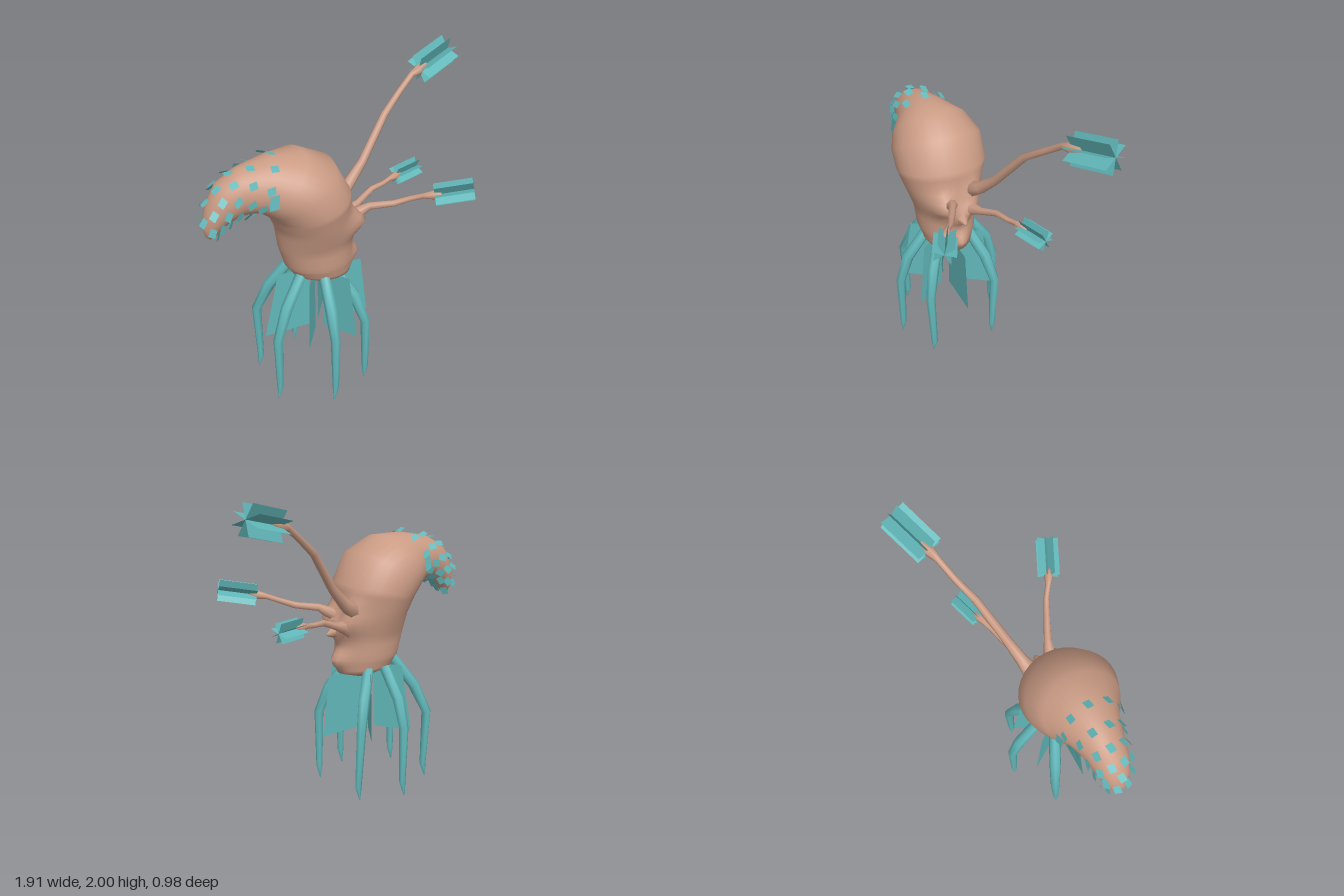
import * as THREE from 'three';

const V = (x, y, z) => new THREE.Vector3(x, y, z);
const skin = new THREE.MeshStandardMaterial({ color: 0xcb9c85, name: 'tan skin' });
const teal = new THREE.MeshStandardMaterial({ color: 0x62b8ba, name: 'teal leg' });
const tealSheet = new THREE.MeshStandardMaterial({ color: 0x62b8ba, name: 'teal sheet', side: THREE.DoubleSide });

// Skin a list of rings (equal point counts), closing both ends
function loft(rings) {
  const n = rings[0].length, m = rings.length, pos = [], idx = [];
  const mid = (r) => r.reduce((a, p) => a.add(p), V(0, 0, 0)).divideScalar(n);
  rings.flat().concat([mid(rings[0]), mid(rings[m - 1])]).forEach((p) => pos.push(p.x, p.y, p.z));
  for (let j = 0; j < n; j++) {
    const k = (j + 1) % n;
    for (let i = 0; i < m - 1; i++) {
      const a = i * n, b = a + n;
      idx.push(a + j, b + j, a + k, b + j, b + k, a + k);
    }
    idx.push(m * n, j, k, m * n + 1, (m - 1) * n + k, (m - 1) * n + j);
  }
  const g = new THREE.BufferGeometry();
  g.setAttribute('position', new THREE.Float32BufferAttribute(pos, 3));
  g.setIndex(idx);
  g.computeVertexNormals();
  return g;
}

// Tapered limb through points, one radius per point
function limb(pts, radii, sides, ref) {
  return loft(pts.map((p, i) => {
    const d = pts[Math.min(i + 1, pts.length - 1)].clone().sub(pts[Math.max(i - 1, 0)]).normalize();
    const e1 = ref.clone().cross(d).normalize(), e2 = e1.clone().cross(d);
    return Array.from({ length: sides }, (_, j) => {
      const t = (j / sides) * Math.PI * 2;
      return p.clone().addScaledVector(e1, Math.cos(t) * radii[i]).addScaledVector(e2, Math.sin(t) * radii[i]);
    });
  }));
}

// Flat four-cornered sheets in one geometry
function sheets(quads) {
  const pos = [];
  for (const [a, b, c, d] of quads) for (const p of [a, b, c, a, c, d]) pos.push(p.x, p.y, p.z);
  const g = new THREE.BufferGeometry();
  g.setAttribute('position', new THREE.Float32BufferAttribute(pos, 3));
  g.computeVertexNormals();
  return g;
}

// Body sections: outer x, y, inner x, y, half width in z
const sections = [
  [-0.14, 0.76, -0.30, 0.79, 0.07], [-0.02, 0.80, -0.40, 0.84, 0.155], [-0.01, 0.90, -0.44, 0.90, 0.18],
  [-0.01, 1.03, -0.475, 1.03, 0.19], [-0.02, 1.20, -0.49, 1.17, 0.243], [-0.03, 1.38, -0.53, 1.27, 0.285],
  [-0.13, 1.57, -0.57, 1.31, 0.285], [-0.31, 1.66, -0.61, 1.335, 0.24], [-0.50, 1.66, -0.65, 1.34, 0.17],
  [-0.70, 1.62, -0.71, 1.33, 0.13], [-0.83, 1.55, -0.78, 1.30, 0.107], [-0.90, 1.43, -0.83, 1.26, 0.085],
  [-0.935, 1.31, -0.87, 1.22, 0.05], [-0.92, 1.23, -0.89, 1.21, 0.02],
];
// Face swellings on the outer side: y, z, height, spread
const swellings = [
  [0.89, 0.04, 0.065, 0.045], [1.08, 0.04, 0.07, 0.045], [1.16, 0.15, 0.1, 0.05],
  [1.14, -0.06, 0.07, 0.045], [1.24, -0.06, 0.04, 0.04],
];
function bodyPoint(s, t) {
  const i = Math.min(Math.floor(s), sections.length - 2), f = s - i;
  const [ax, ay, bx, by, w] = sections[i].map((v, k) => v + (sections[i + 1][k] - v) * f);
  const c = Math.cos(t) / 2;
  const p = V((ax + bx) / 2 + c * (ax - bx), (ay + by) / 2 + c * (ay - by), 0.045 + Math.sin(t) * w);
  if (c > 0 && s < 6) {
    for (const [y, z, h, r] of swellings) {
      p.x += h * Math.exp(-((p.y - y) ** 2 + (p.z - z) ** 2) / (2 * r * r)) * Math.min(1, c * 4);
    }
  }
  return p;
}

export function createModel() {
  const model = new THREE.Group();
  const add = (name, geo, mat) => {
    const mesh = new THREE.Mesh(geo, mat);
    mesh.name = name;
    model.add(mesh);
  };

  // Hooked body, with closer rings across the face
  const N = 32, rings = [0];
  for (let s = 1; s < 5; s += 0.25) rings.push(s);
  for (let s = 5; s < sections.length; s++) rings.push(s);
  add('body', loft(rings.map((s) =>
    Array.from({ length: N }, (_, j) => bodyPoint(s, (j / N) * Math.PI * 2)))), skin);
  add('snoutSpike', limb([V(-0.02, 1.09, 0.04), V(0.05, 1.08, 0.04), V(0.09, 1.07, 0.04)],
    [0.06, 0.035, 0.006], 6, V(0, 0, 1)), skin);

  // Arms, each ending in a fletching of radial sheets
  const arms = [
    { name: 'upperArm', r: 0.094, tip: [0.915, 1.92, -0.415],
      path: [[-0.06, 1.22, -0.05], [0.04, 1.28, -0.08], [0.16, 1.40, -0.12], [0.35, 1.65, -0.20],
        [0.48, 1.75, -0.26], [0.59, 1.835, -0.30], [0.65, 1.85, -0.32], [0.71, 1.87, -0.34]] },
    { name: 'leftArm', r: 0.07, tip: [0.635, 1.363, 0.42],
      path: [[-0.06, 1.14, 0.09], [0.02, 1.19, 0.105], [0.09, 1.23, 0.13], [0.22, 1.25, 0.195],
        [0.31, 1.285, 0.24], [0.37, 1.31, 0.285], [0.425, 1.322, 0.32], [0.46, 1.33, 0.345]] },
    { name: 'rightArm', r: 0.063, tip: [0.61, 1.225, -0.222],
      path: [[-0.04, 1.10, -0.02], [0.03, 1.13, -0.035], [0.10, 1.15, -0.06], [0.22, 1.20, -0.105],
        [0.31, 1.205, -0.13], [0.37, 1.215, -0.15], [0.42, 1.22, -0.165], [0.46, 1.22, -0.18]] },
  ];
  for (const { name, r, tip, path } of arms) {
    const pts = path.map((p) => V(...p)), k = 0.4 + 0.6 * (r / 0.094);
    const radii = [0.06, 0.038, 0.028, 0.024, 0.02, 0.02, 0.034, 0.018].map((v, i) => (i < 2 ? v : v * k));
    add(name, limb(pts, radii, 7, V(0, 0, 1)), skin);
    const a = pts[6], b = V(...tip), d = b.clone().sub(a).normalize();
    const e1 = V(0, 0, 1).cross(d).normalize(), e2 = e1.clone().cross(d);
    const quads = [];
    for (let j = 0; j < 8; j++) {
      const t = ((j + 0.4) / 8) * Math.PI * 2;
      const out = e1.clone().multiplyScalar(Math.cos(t) * r).addScaledVector(e2, Math.sin(t) * r);
      quads.push([a, b, b.clone().add(out), a.clone().add(out)]);
    }
    add(name + 'Fletching', sheets(quads), tealSheet);
  }

  // Six bent legs: hip, thigh, knee, ankle and toe; z mirrored about the body
  const legs = [
    ['rear', [[-0.34, 0.89, 0.08], [-0.49, 0.67, 0.15], [-0.57, 0.48, 0.19], [-0.565, 0.10, 0.175], [-0.58, 0.01, 0.18]]],
    ['middle', [[-0.24, 0.84, 0.15], [-0.25, 0.66, 0.28], [-0.25, 0.48, 0.338], [-0.25, 0.11, 0.335], [-0.265, 0.01, 0.34]]],
    ['front', [[-0.15, 0.84, 0.10], [-0.05, 0.66, 0.185], [0.005, 0.48, 0.23], [0.015, 0.10, 0.215], [0.005, 0.01, 0.22]]],
  ];
  for (const [name, path] of legs) {
    for (const side of [1, -1]) {
      const pts = path.map(([x, y, z]) => V(x, y, 0.025 + side * z));
      const run = pts[2].clone().sub(pts[0]).setY(0).normalize();
      add(name + (side > 0 ? 'LeftLeg' : 'RightLeg'),
        limb(pts, [0.035, 0.038, 0.031, 0.021, 0.003], 7, V(-run.z, 0, run.x)), teal);
    }
  }

  // Skirt of six radial sheets between the legs: angle, top height, outer radius at top and bottom
  add('skirt', sheets([
    [0, 0.80, 0.31, 0.355], [57, 0.82, 0.245, 0.30], [123, 0.835, 0.23, 0.30],
    [180, 0.835, 0.255, 0.355], [237, 0.835, 0.23, 0.30], [303, 0.82, 0.245, 0.30],
  ].map(([deg, top, rTop, rLow]) => {
    const t = THREE.MathUtils.degToRad(deg);
    const at = (r, y) => V(-0.235 + Math.cos(t) * r, y, 0.04 + Math.sin(t) * r);
    return [at(0.045, top), at(rTop, top), at(rLow, 0.4), at(0.05, 0.4)];
  })), tealSheet);

  // Scales over the hooked tip, lifted at the end nearer the tip
  const scales = [];
  const scale = (s, t, w, l) => {
    const p = bodyPoint(s, t);
    const ds = bodyPoint(s + 0.1, t).sub(bodyPoint(s - 0.1, t)).normalize();
    const n = ds.clone().cross(bodyPoint(s, t + 0.05).sub(bodyPoint(s, t - 0.05))).normalize();
    const dt = n.clone().cross(ds);
    const at = (u, v, h) => p.clone().addScaledVector(dt, u * w).addScaledVector(ds, v * l).addScaledVector(n, h);
    scales.push([at(-0.5, -0.5, 0.003), at(0.5, -0.5, 0.003), at(0.65, 0.5, 0.027), at(-0.35, 0.5, 0.027)]);
  };
  [8, 8.7, 9.4, 10.1, 10.9, 11.7].forEach((s, row) => {
    const count = row < 4 ? 9 : 6;
    for (let j = 0; j < count; j++) scale(s, ((j + (row % 2) * 0.5) / count) * Math.PI * 2, 0.042, 0.046);
  });
  scale(7.65, 1.75, 0.085, 0.05);
  scale(7.65, -1.75, 0.085, 0.05);
  add('scales', sheets(scales), tealSheet);

  return model;
}
